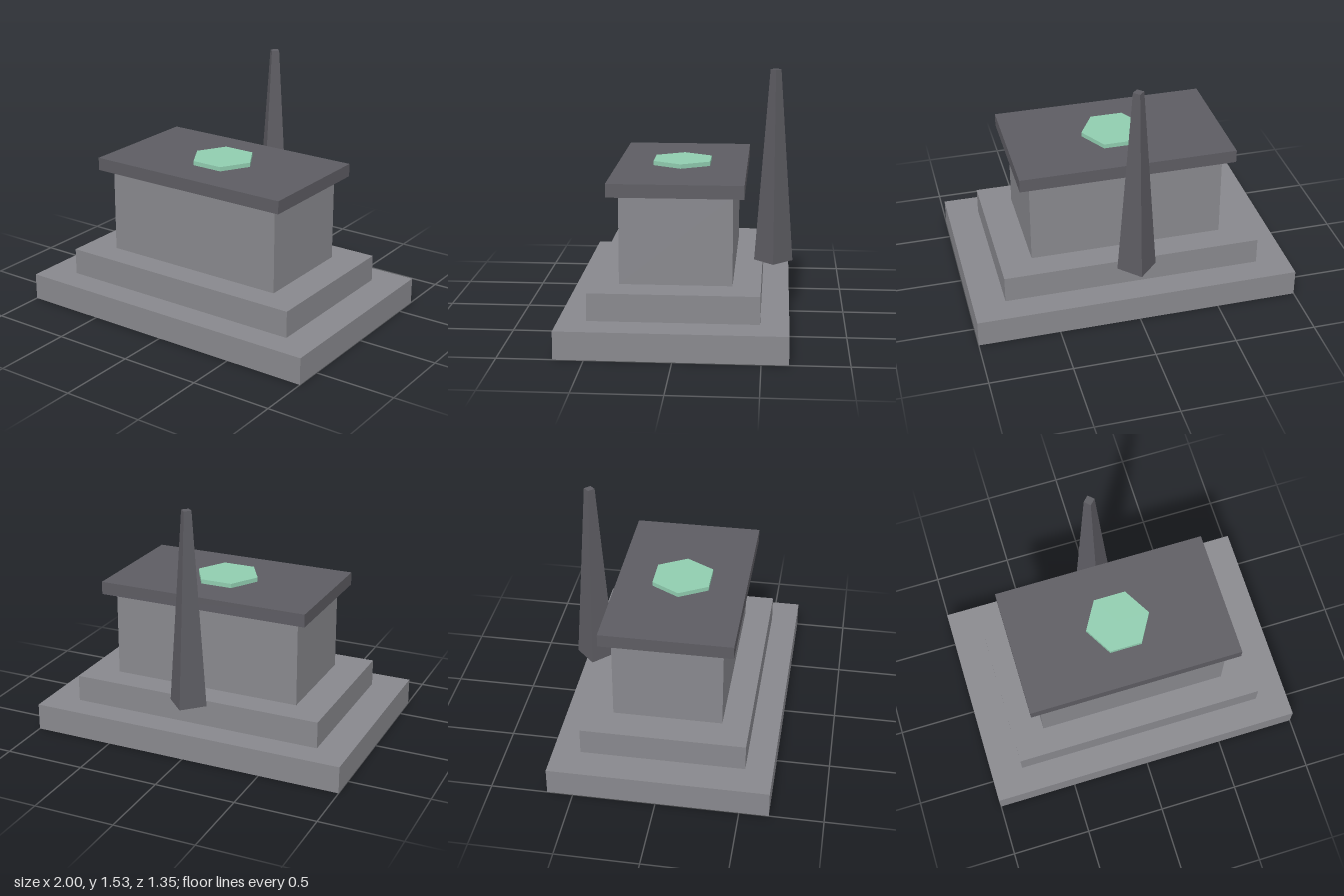
import * as THREE from 'three';

export function createModel() {
  const model = new THREE.Group();
  model.name = 'monument';

  const material = (name, color) => {
    const m = new THREE.MeshStandardMaterial({ color });
    m.name = name;
    return m;
  };
  const stone = material('grey stone', 0x88888d);
  const darkStone = material('dark stone', 0x5d5c62);
  const jade = material('pale green', 0x90ccaf);

  const plinthZ = 0.01;

  // Adds a geometry standing on height y
  const add = (name, geometry, mat, y, height, z) => {
    const mesh = new THREE.Mesh(geometry, mat);
    mesh.name = name;
    mesh.position.set(0, y + height / 2, z);
    model.add(mesh);
  };

  // Stepped base, body and overhanging slab: name, width, depth, bottom, top
  const tiers = [
    ['lowerStep', 2, 1.333, 0, 0.167, stone],
    ['upperStep', 1.6, 1, 0.167, 0.333, stone],
    ['body', 1.2, 0.667, 0.333, 0.867, stone],
    ['topSlab', 1.333, 0.8, 0.867, 0.947, darkStone],
  ];
  for (const [name, w, d, y0, y1, mat] of tiers) {
    add(name, new THREE.BoxGeometry(w, y1 - y0, d), mat, y0, y1 - y0, plinthZ);
  }

  // Hexagonal plate with corners toward the left and right
  const hexagon = new THREE.CylinderGeometry(0.2, 0.2, 0.027, 6, 1, false, Math.PI / 2).toNonIndexed();
  hexagon.computeVertexNormals();
  add('hexagonPlate', hexagon, jade, 0.947, 0.027, plinthZ);

  // Tapered four-sided obelisk behind the body
  const obelisk = new THREE.CylinderGeometry(0.033, 0.12, 1.2, 4).toNonIndexed();
  obelisk.computeVertexNormals();
  add('obelisk', obelisk, darkStone, 0.333, 1.2, -0.557);

  return model;
}
